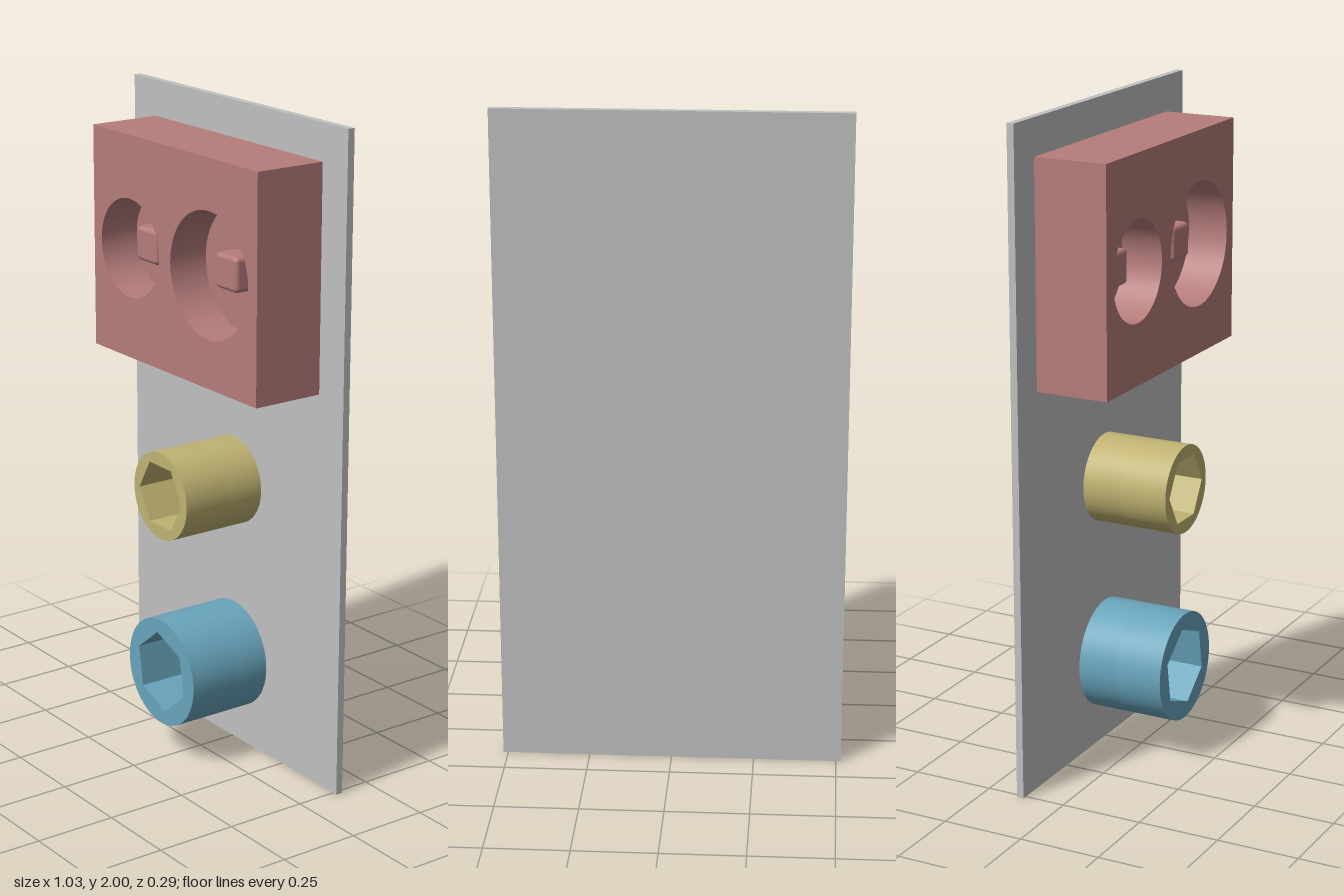
import * as THREE from 'three';
import { toCreasedNormals } from 'three/addons/utils/BufferGeometryUtils.js';
import { RoundedBoxGeometry } from 'three/addons/geometries/RoundedBoxGeometry.js';

const BACK = -0.147, FACE = -0.125; // back and front of the plate

function material(name, color) {
  const m = new THREE.MeshStandardMaterial({ color });
  m.name = name;
  return m;
}

function add(parent, name, geometry, mat) {
  const mesh = new THREE.Mesh(geometry, mat);
  mesh.name = name;
  parent.add(mesh);
  return mesh;
}

function box(parent, name, w, h, z0, z1, y, mat) {
  add(parent, name, new THREE.BoxGeometry(w, h, z1 - z0), mat).position.set(0, y, (z0 + z1) / 2);
}

// Extrude a shape along z from z0 to z1, smooth on curves and sharp at corners
function extrude(shape, z0, z1) {
  const g = new THREE.ExtrudeGeometry(shape, { depth: z1 - z0, bevelEnabled: false, curveSegments: 32 });
  return toCreasedNormals(g.translate(0, 0, z0), 0.5);
}

function circle(target, x, y, r) {
  target.absarc(x, y, r, 0, Math.PI * 2, false);
  return target;
}

// Round post with a hexagonal socket in its front end
function socketPost(name, y, radius, hexRadius, turn, mat) {
  const post = new THREE.Group();
  post.name = name;
  post.position.y = y;
  const front = 0.147, floor = -0.003;
  const ring = circle(new THREE.Shape(), 0, 0, radius);
  const corners = [];
  for (let i = 0; i < 6; i++) {
    const a = turn + i * Math.PI / 3;
    corners.push(new THREE.Vector2(Math.cos(a) * hexRadius, Math.sin(a) * hexRadius));
  }
  ring.holes.push(new THREE.Path(corners));
  add(post, 'socketWall', extrude(ring, floor, front), mat);
  add(post, 'socketBase', extrude(circle(new THREE.Shape(), 0, 0, radius), FACE, floor), mat);
  return post;
}

export function createModel() {
  const model = new THREE.Group();
  model.name = 'wallPanel';
  const grey = material('plateGrey', 0xc0c0c0);
  const red = material('dustyRed', 0xb57d7b);
  const yellow = material('mutedYellow', 0xbfb372);
  const blue = material('softBlue', 0x69a5bc);

  // Backing plate
  box(model, 'backPlate', 1.03, 2, BACK, FACE, 1, grey);

  // Block with two round pockets
  const block = new THREE.Group();
  block.name = 'pocketBlock';
  model.add(block);
  const w = 0.405, y0 = 1.215, y1 = 1.89, front = 0.1, floor = -0.027;
  const pockets = [{ x: -0.217, r: 0.15 }, { x: 0.177, r: 0.188 }];
  const faceShape = new THREE.Shape([
    new THREE.Vector2(-w, y0), new THREE.Vector2(w, y0),
    new THREE.Vector2(w, y1), new THREE.Vector2(-w, y1),
  ]);
  for (const p of pockets) faceShape.holes.push(circle(new THREE.Path(), p.x, 1.55, p.r));
  add(block, 'pocketWalls', extrude(faceShape, floor, front), red);
  box(block, 'blockBase', w * 2, y1 - y0, FACE, floor, (y0 + y1) / 2, red);

  // Square peg standing in each pocket, its rear end sunk into the floor
  for (const p of pockets) {
    const peg = add(block, 'peg', new RoundedBoxGeometry(0.105, 0.105, 0.1, 3, 0.014), red);
    peg.position.set(p.x, 1.55, -0.008);
  }

  // Socket posts
  model.add(socketPost('upperSocketPost', 0.847, 0.135, 0.108, 0, yellow));
  model.add(socketPost('lowerSocketPost', 0.283, 0.168, 0.125, THREE.MathUtils.degToRad(39), blue));
  return model;
}
